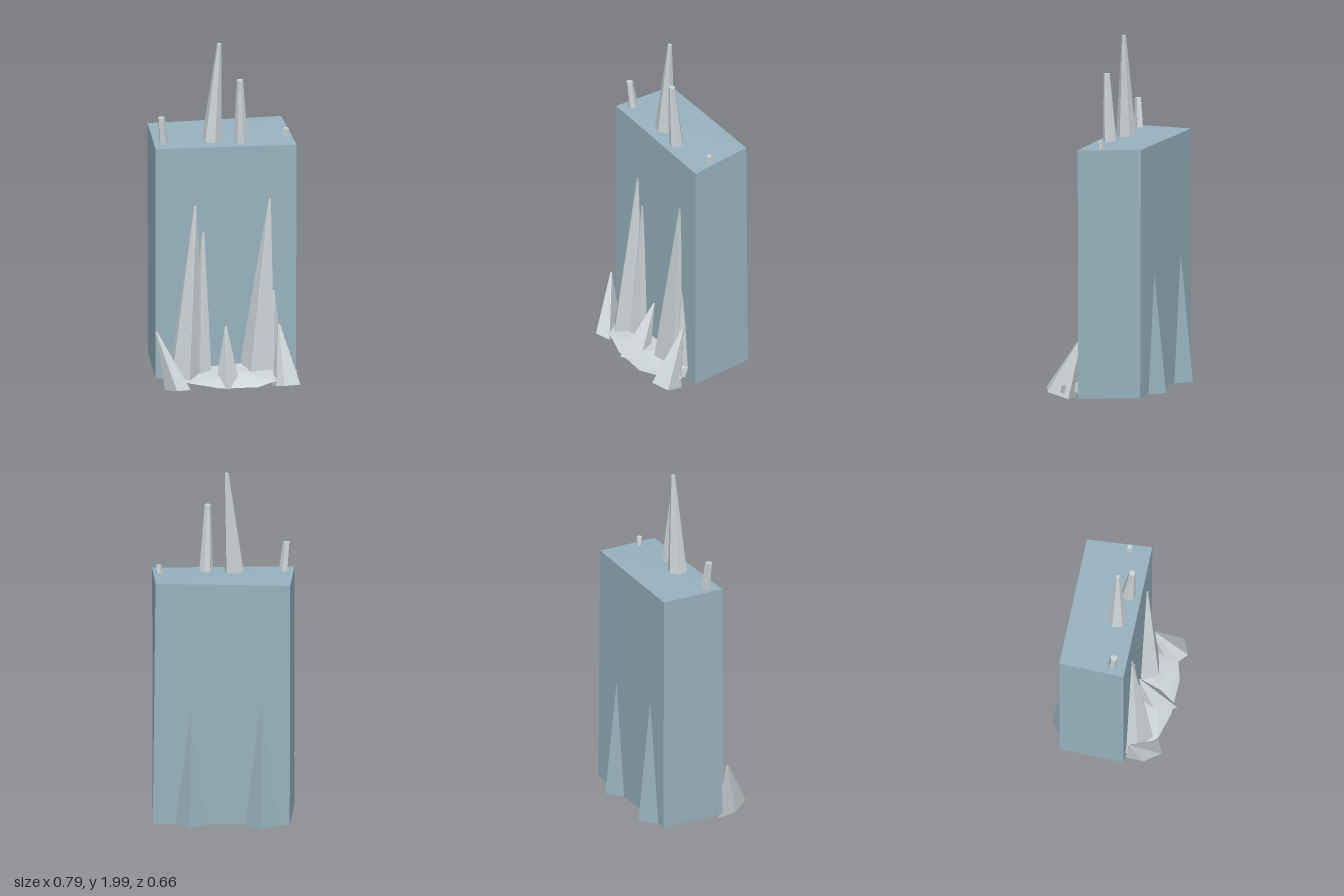
import * as THREE from 'three';
import { ConvexGeometry } from 'three/addons/geometries/ConvexGeometry.js';

export function createModel() {
  const model = new THREE.Group();
  model.name = 'crystalSlab';

  const slabBlue = new THREE.MeshStandardMaterial({ color: 0x98b2be });
  slabBlue.name = 'slabBlue';
  const crystalGrey = new THREE.MeshStandardMaterial({ color: 0xccd3d5 });
  crystalGrey.name = 'crystalGrey';

  // Faceted solid wrapped around a few corner points
  function solid(name, points, material) {
    const geometry = new ConvexGeometry(points.map(p => new THREE.Vector3(...p)));
    const mesh = new THREE.Mesh(geometry, material);
    mesh.name = name;
    model.add(mesh);
  }

  // Horizontal ring of corners
  function ring(x, y, z, radius, sides, turn) {
    return Array.from({ length: sides }, (_, i) => {
      const a = turn + (i / sides) * Math.PI * 2;
      return [x + Math.cos(a) * radius, y, z + Math.sin(a) * radius];
    });
  }

  // Slightly skewed upright slab
  solid('slab', [
    [-0.39, 0.06, 0.108], [0.39, 0.025, 0.1], [0.37, 0.048, -0.262], [-0.385, 0.055, -0.255],
    [-0.39, 1.435, 0.108], [0.395, 1.415, 0.1], [0.355, 1.435, -0.26], [-0.388, 1.435, -0.255]
  ], slabBlue);

  // Buttresses on the back
  for (const [x, top] of [[-0.23, 0.76], [0.16, 0.73]]) {
    solid('backButtress', [
      [x - 0.1, 0.05, -0.25], [x + 0.1, 0.05, -0.25], [x, 0.05, -0.33], [x, top, -0.258]
    ], slabBlue);
  }

  // Tapered crystals on the top: base x, z, radius; tip x, z, radius; height, sides, turn
  const topCrystals = [
    [-0.066, 0.0, 0.057, -0.022, -0.004, 0.012, 2.0, 6, 0.3],
    [0.095, 0.03, 0.041, 0.086, 0.053, 0.018, 1.8, 7, 0.4],
    [-0.332, 0.03, 0.027, -0.35, 0.045, 0.02, 1.595, 5, 0],
    [0.347, -0.02, 0.019, 0.352, -0.017, 0.015, 1.468, 5, 0.5]
  ];
  for (const [x, z, r, tx, tz, tr, h, n, turn] of topCrystals) {
    solid('topCrystal', [...ring(x, 1.41, z, r, n, turn), ...ring(tx, h, tz, tr, n, turn)], crystalGrey);
  }

  // Tall crystals leaning against the front: tip, then base corners as x, z
  const tallCrystals = [
    [[-0.17, 1.08, 0.112], [[-0.32, 0.09], [-0.305, 0.17], [-0.215, 0.235], [-0.115, 0.12], [-0.13, 0.08]]],
    [[-0.125, 0.92, 0.112], [[-0.21, 0.1], [-0.15, 0.175], [-0.085, 0.15], [-0.08, 0.09]]],
    [[0.245, 1.1, 0.108], [[0.07, 0.09], [0.125, 0.198], [0.262, 0.165], [0.265, 0.08]]],
    [[0.265, 0.55, 0.106], [[0.22, 0.09], [0.26, 0.15], [0.325, 0.095]]]
  ];
  for (const [tip, base] of tallCrystals) {
    const [x, y, z] = tip;
    solid('tallCrystal', [
      ...base.map(([bx, bz]) => [bx, 0.09, bz]),
      [x - 0.006, y, z], [x + 0.006, y, z], [x, y, z - 0.012]
    ], crystalGrey);
  }

  // Small crystals along the foot, with bases tilted up toward the front
  const footCrystals = [
    [[-0.39, 0.35, 0.14], [[-0.34, 0.11], [-0.32, 0.16], [-0.215, 0.267], [-0.295, 0.303], [-0.35, 0.21]]],
    [[0, 0.35, 0.115], [[-0.073, 0.23], [-0.015, 0.328], [0.063, 0.25], [0.035, 0.165], [-0.05, 0.16]]],
    [[0.295, 0.35, 0.12], [[0.243, 0.22], [0.258, 0.28], [0.298, 0.322], [0.393, 0.28], [0.36, 0.17], [0.27, 0.16]]]
  ];
  for (const [tip, base] of footCrystals) {
    solid('footCrystal', [
      ...base.map(([x, z]) => [x, 0.01 + Math.max(0, z - 0.16) * 0.35, z]),
      ...ring(...tip, 0.006, 4, 0)
    ], crystalGrey);
  }

  // Tiny stub beside the right-hand foot crystal
  solid('stub', [...ring(0.365, 0.05, 0.2, 0.014, 5, 0), ...ring(0.377, 0.095, 0.19, 0.011, 5, 0)], crystalGrey);

  // Rocky ledge joining the foot crystals
  solid('ledge', [
    [-0.34, 0.1, 0.1], [-0.1, 0.11, 0.1], [0.15, 0.125, 0.1], [0.32, 0.1, 0.1],
    [-0.22, 0.085, 0.265], [-0.06, 0.066, 0.305], [0.15, 0.06, 0.308], [0.26, 0.08, 0.275],
    [0.08, 0.11, 0.2], [-0.34, 0.055, 0.12], [-0.18, 0.035, 0.17], [0.2, 0.035, 0.16], [0.32, 0.04, 0.12]
  ], crystalGrey);

  return model;
}
